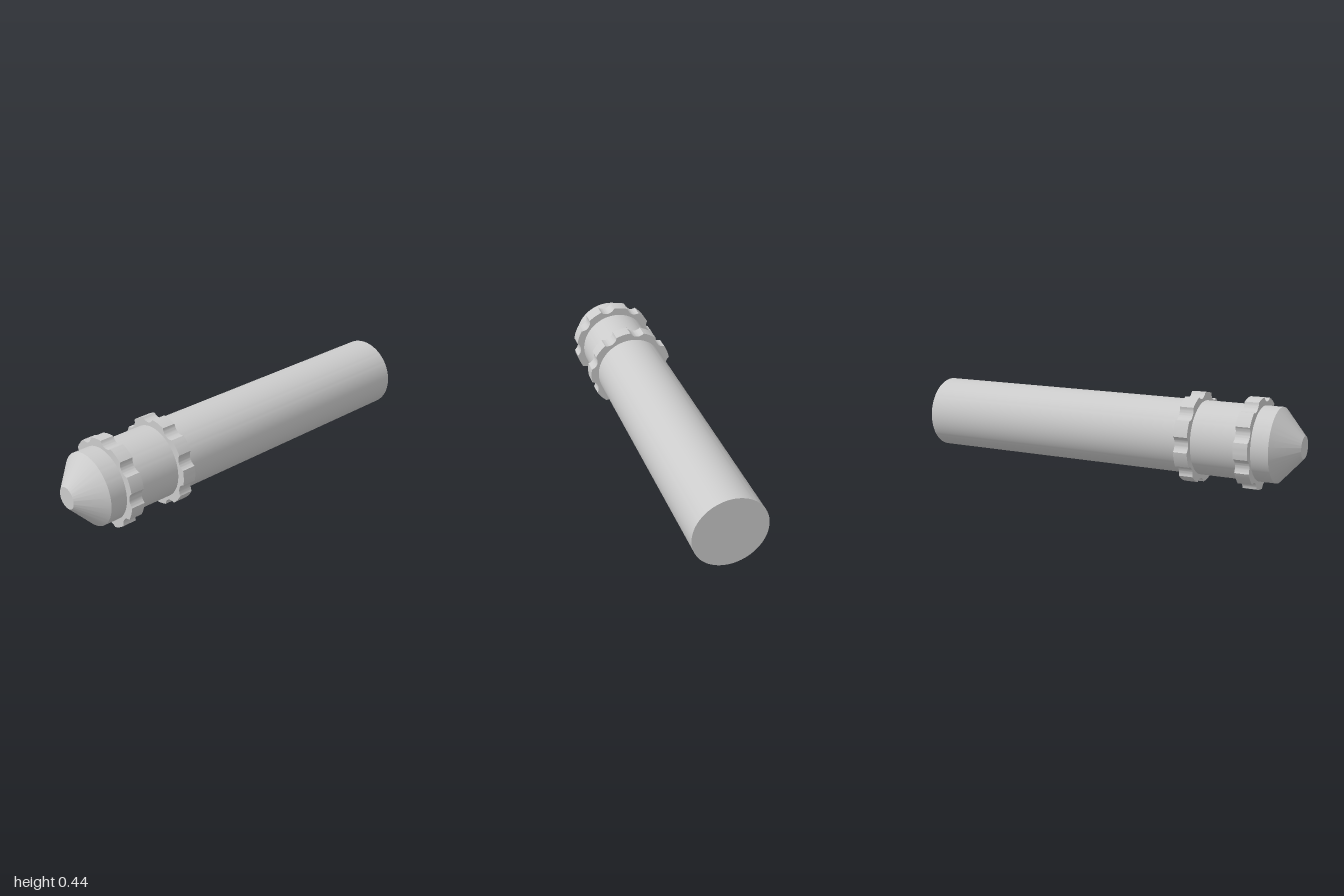
import * as THREE from 'three';
import { toCreasedNormals } from 'three/addons/utils/BufferGeometryUtils.js';

const AXIS_Y = 0.22;      // height of the long axis
const RIM = 0.22;         // outer radius of the collars
const NOTCHES = 9;
const STEP = (Math.PI * 2) / NOTCHES;

// Disc outline with round scallops cut into the rim
function collarShape(offset) {
  const centre = 0.244, radius = 0.046;
  const x = (centre ** 2 + RIM ** 2 - radius ** 2) / (2 * centre);
  const y = Math.sqrt(RIM ** 2 - x ** 2);
  const half = Math.atan2(y, x);            // half angle of a scallop seen from the axis
  const phi = Math.atan2(y, centre - x);    // half angle of its arc
  const pts = [];
  for (let n = 0; n < NOTCHES; n++) {
    const a = offset + n * STEP;
    for (let i = 0; i <= 14; i++) {         // scallop
      const t = a + Math.PI + phi * (1 - i / 7);
      pts.push(new THREE.Vector2(
        centre * Math.cos(a) + radius * Math.cos(t),
        centre * Math.sin(a) + radius * Math.sin(t)));
    }
    for (let i = 1; i < 8; i++) {           // rim up to the next scallop
      const t = a + half + (STEP - 2 * half) * (i / 8);
      pts.push(new THREE.Vector2(RIM * Math.cos(t), RIM * Math.sin(t)));
    }
  }
  return new THREE.Shape(pts);
}

export function createModel() {
  const model = new THREE.Group();
  model.name = 'notchedRod';
  const material = new THREE.MeshStandardMaterial({ color: 0xcccccc });

  const add = (name, geometry, z) => {
    const mesh = new THREE.Mesh(toCreasedNormals(geometry, Math.PI / 6), material);
    mesh.name = name;
    mesh.position.set(0, AXIS_Y, z);
    model.add(mesh);
  };

  // Round rod with a blunt conical nose, turned along z
  const profile = [[0, -1], [0.18, -1], [0.18, 0.885], [0.054, 1], [0, 1]]
    .map(([r, z]) => new THREE.Vector2(r, z));
  add('rod', new THREE.LatheGeometry(profile, 96).rotateX(Math.PI / 2), 0);

  // Two scalloped collars, the rear one turned by half a step
  const collar = (offset) => new THREE.ExtrudeGeometry(collarShape(offset),
    { depth: 0.07, bevelEnabled: false });
  add('frontCollar', collar(0), 0.73);
  add('rearCollar', collar(STEP / 2), 0.432);

  return model;
}
